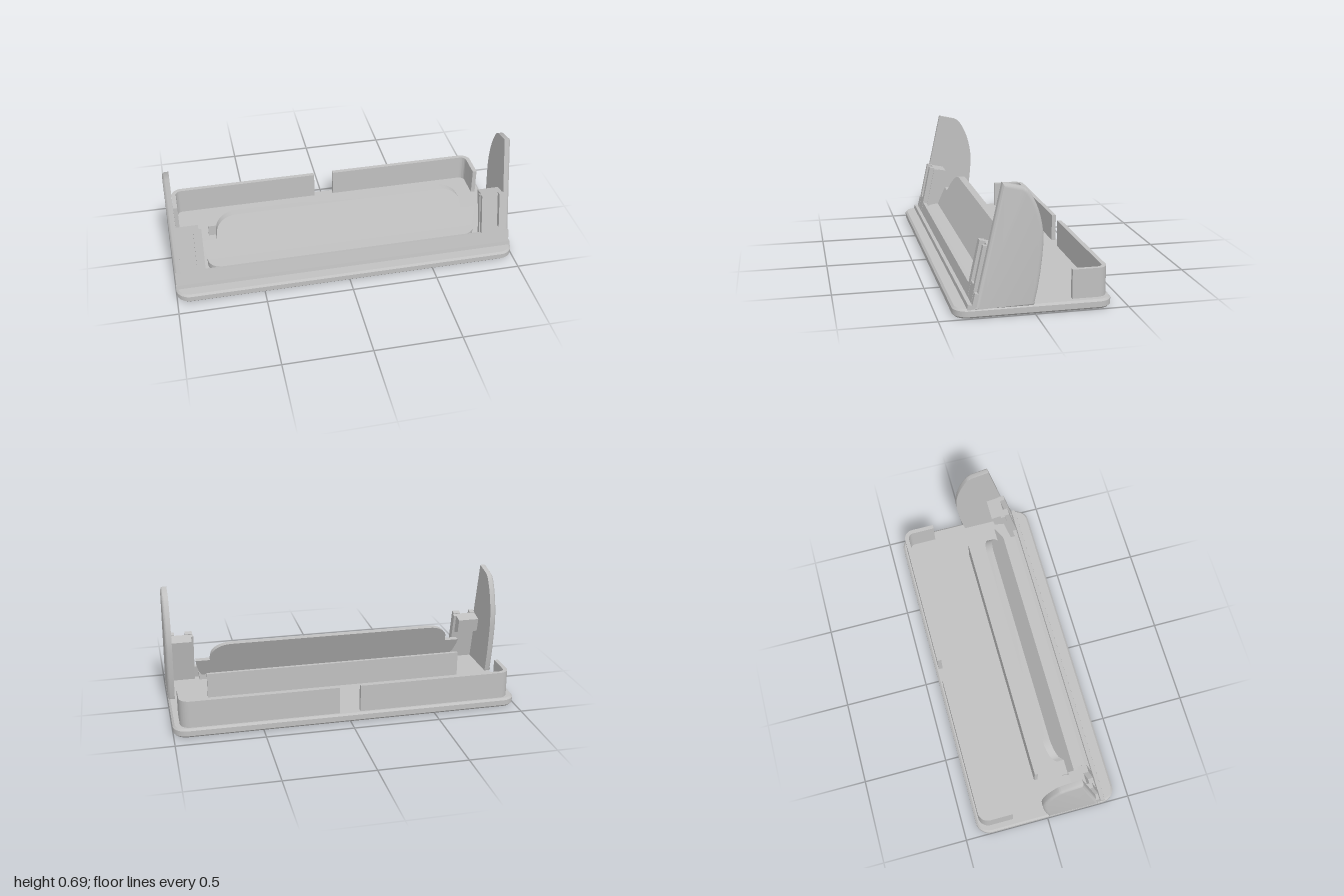
import * as THREE from 'three';
import { toCreasedNormals } from 'three/addons/utils/BufferGeometryUtils.js';

const grey = new THREE.MeshStandardMaterial({ color: 0xc0c0c0 });
grey.name = 'plain grey';

// mirror a geometry across x = 0, keeping the faces outward
function mirrored(geo) {
  const g = geo.index ? geo.toNonIndexed() : geo.clone();
  g.scale(-1, 1, 1);
  const p = g.attributes.position;
  for (let i = 0; i < p.count; i += 3) {
    const b = [p.getX(i + 1), p.getY(i + 1), p.getZ(i + 1)];
    p.setXYZ(i + 1, p.getX(i + 2), p.getY(i + 2), p.getZ(i + 2));
    p.setXYZ(i + 2, ...b);
  }
  return g;
}

function add(parent, name, geo) {
  const mesh = new THREE.Mesh(toCreasedNormals(geo, 0.6), grey);
  mesh.name = name;
  parent.add(mesh);
}

function addPair(parent, name, geo) {
  add(parent, name + 'Left', geo);
  add(parent, name + 'Right', mirrored(geo));
}

const polygon = (pts) => new THREE.Shape(pts.map(([a, b]) => new THREE.Vector2(a, b)));

// (z, y) profile swept along x
function prism(shape, x0, x1) {
  return new THREE.ExtrudeGeometry(shape, { depth: x1 - x0, bevelEnabled: false })
    .rotateY(-Math.PI / 2).translate(x1, 0, 0);
}

// (x, -z) plan raised from y0 to y1
function raised(shape, y0, y1, bevel = 0) {
  return new THREE.ExtrudeGeometry(shape, {
    depth: y1 - y0 - 2 * bevel, curveSegments: 10, bevelEnabled: bevel > 0,
    bevelThickness: bevel, bevelSize: bevel, bevelOffset: -bevel, bevelSegments: 1,
  }).rotateX(-Math.PI / 2).translate(0, y0 + bevel, 0);
}

function box(x0, x1, y0, y1, z0, z1) {
  return new THREE.BoxGeometry(x1 - x0, y1 - y0, z1 - z0)
    .translate((x0 + x1) / 2, (y0 + y1) / 2, (z0 + z1) / 2);
}

function roundedRect(w, d, r) {
  const s = new THREE.Shape();
  s.absarc(w - r, d - r, r, 0, Math.PI / 2);
  s.absarc(-w + r, d - r, r, Math.PI / 2, Math.PI);
  s.absarc(-w + r, -d + r, r, Math.PI, Math.PI * 1.5);
  s.absarc(w - r, -d + r, r, Math.PI * 1.5, Math.PI * 2);
  return s;
}

export function createModel() {
  const model = new THREE.Group();
  model.name = 'desktopStand';

  add(model, 'base', raised(roundedRect(1, 0.42, 0.08), 0, 0.052, 0.011));

  // corner walls at the back, with a gap in the middle
  const wall = new THREE.Shape();
  wall.moveTo(0.06, 0.4);
  wall.lineTo(0.9, 0.4);
  wall.absarc(0.9, 0.34, 0.06, Math.PI / 2, 0, true);
  wall.lineTo(0.96, 0.205);
  wall.lineTo(0.935, 0.205);
  wall.lineTo(0.935, 0.34);
  wall.absarc(0.9, 0.34, 0.035, 0, Math.PI / 2, false);
  wall.lineTo(0.06, 0.375);
  addPair(model, 'backWall', raised(wall, 0.05, 0.21));

  add(model, 'middleWall', box(-0.77, 0.77, 0.05, 0.2, -0.02, 0));

  // stepped front lip leaning back
  add(model, 'frontLip', prism(polygon([
    [0.354, 0.045], [0.349, 0.075], [0.326, 0.07], [0.312, 0.131], [0.29, 0.126], [0.306, 0.045],
  ]), -0.995, 0.995));

  // shelf behind the lip, with rounded front corners
  const shelf = new THREE.Shape();
  shelf.moveTo(-0.8, -0.18);
  shelf.lineTo(-0.8, -0.215);
  shelf.quadraticCurveTo(-0.79, -0.285, -0.72, -0.295);
  shelf.lineTo(0.72, -0.295);
  shelf.quadraticCurveTo(0.79, -0.285, 0.8, -0.215);
  shelf.lineTo(0.8, -0.18);
  add(model, 'shelf', raised(shelf, 0.085, 0.126));

  // leaning back rest: rounded centre with low wings
  const half = [[0.77, 0.09], [0.8, 0.14], [0.815, 0.19], [0.82, 0.23], [0.735, 0.23], [0.73, 0.26]];
  for (let i = 1; i <= 8; i++) {
    const a = (i / 8) * Math.PI / 2;
    half.push([0.61 + 0.12 * Math.cos(a), 0.26 + 0.085 * Math.sin(a)]);
  }
  const outline = half.concat(half.map(([x, y]) => [-x, y]).reverse());
  const rest = new THREE.ExtrudeGeometry(polygon(outline), { depth: 0.042, bevelEnabled: false });
  const p = rest.attributes.position;
  for (let i = 0; i < p.count; i++) {
    p.setZ(i, p.getZ(i) - 0.042 + 0.215 - (p.getY(i) - 0.13) * 0.51);
  }
  add(model, 'backRest', rest);

  // tall side fins, rounded only on the outside
  const fin = new THREE.Shape();
  fin.moveTo(0.335, 0.045);
  fin.lineTo(0.31, 0.06);
  fin.lineTo(0.171, 0.693);
  fin.lineTo(0.065, 0.669);
  fin.splineThru([
    [0.035, 0.645], [0, 0.583], [-0.026, 0.505], [-0.04, 0.415],
    [-0.037, 0.32], [-0.021, 0.18], [0.002, 0.06], [0.012, 0.045],
  ].map(([z, y]) => new THREE.Vector2(z, y)));
  const finGeo = new THREE.ExtrudeGeometry(fin, {
    depth: 0.035, curveSegments: 24, bevelThickness: 0.015, bevelSize: 0.02,
    bevelOffset: -0.02, bevelSegments: 3,
  }).rotateY(-Math.PI / 2).translate(0.985, 0, 0);
  // flatten the inner side and restore its full outline
  const f = finGeo.attributes.position;
  for (let i = 0; i < f.count; i++) f.setX(i, Math.max(f.getX(i), 0.962));
  addPair(model, 'sideFin', finGeo);

  // leaning slotted brackets beside the back rest
  const parts = {
    bracketInnerPost: box(0.825, 0.868, 0, 0.327, -0.032, 0),
    bracketOuterPost: box(0.932, 0.962, 0, 0.327, -0.032, 0),
    bracketSlotFoot: box(0.868, 0.932, 0, 0.11, -0.032, -0.001),
    bracketBackPlate: box(0.82, 0.962, 0, 0.322, -0.055, -0.03),
    bracketHead: prism(polygon([
      [-0.05, 0.322], [-0.112, 0.322], [-0.112, 0.235], [-0.05, 0.2],
    ]), 0.835, 0.962),
  };
  for (const [name, geo] of Object.entries(parts)) {
    geo.rotateX(-0.21).translate(0, 0.05, 0.331);
    addPair(model, name, geo);
  }

  return model;
}
